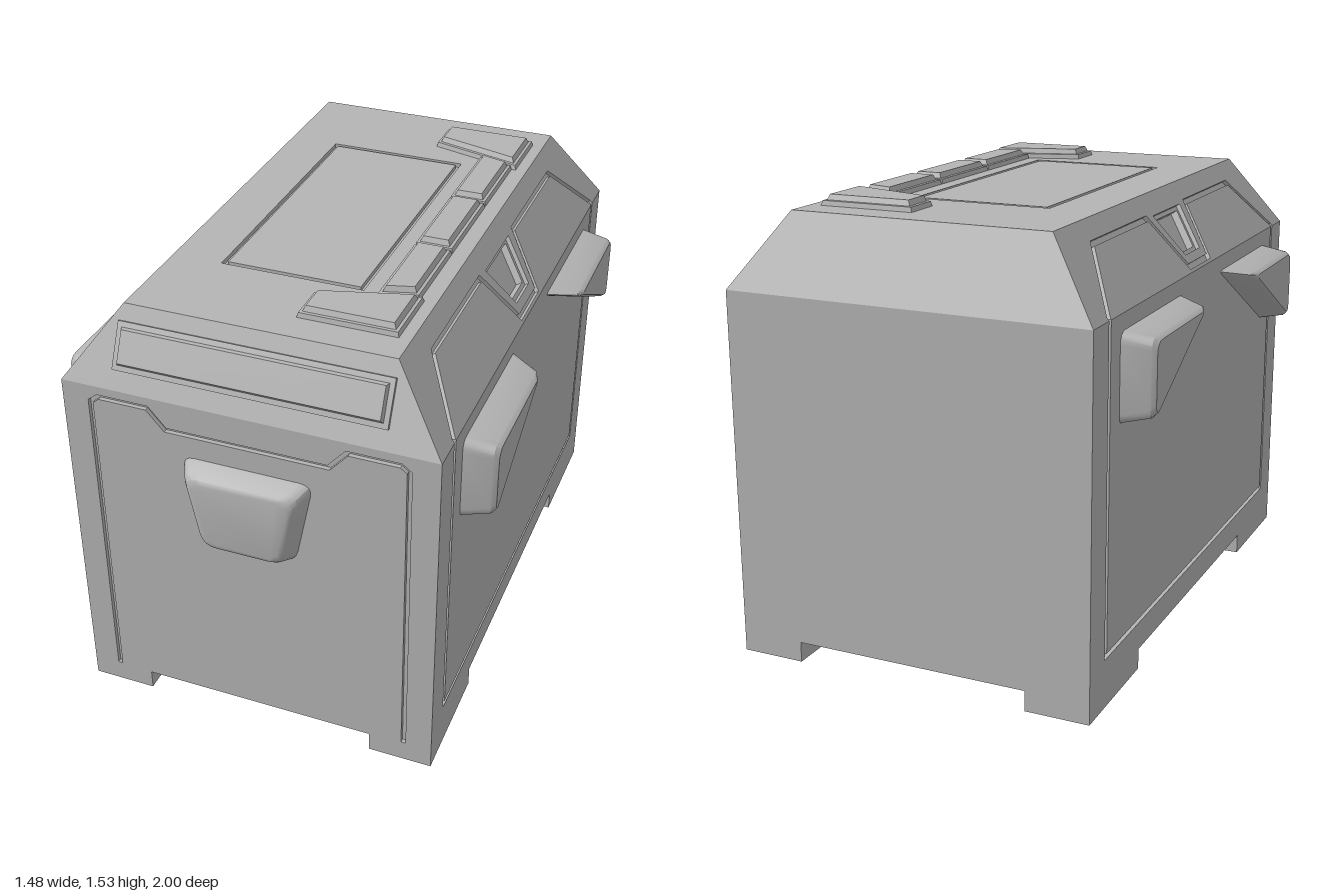
import * as THREE from 'three';
import { toCreasedNormals } from 'three/addons/utils/BufferGeometryUtils.js';

const GROOVE = 0.016;   // groove width
const DEPTH = 0.015;    // groove depth
const grey = new THREE.MeshStandardMaterial({ color: 0xb4b4b4 });
grey.name = 'grey metal';

const V2 = (p) => new THREE.Vector2(p[0], p[1]);
const rect = (x0, y0, x1, y1) => [[x0, y0], [x1, y0], [x1, y1], [x0, y1]];

// Face frame: 2D points (a, b) land on origin + a*u + b*v, raised along the outward normal
function frame(o, u, v) {
  const U = new THREE.Vector3(...u), V = new THREE.Vector3(...v);
  const N = U.clone().cross(V).normalize();
  return new THREE.Matrix4().makeBasis(U, V, N).setPosition(...o);
}

function ccw(pts) {
  return THREE.ShapeUtils.area(pts.map(V2)) < 0 ? [...pts].reverse() : pts;
}

// Polygon moved inward by d with mitred corners
function inset(pts, d) {
  const s = THREE.ShapeUtils.area(pts.map(V2)) < 0 ? -1 : 1;
  const n = pts.length;
  return pts.map((p, i) => {
    const P = V2(p);
    const e0 = P.clone().sub(V2(pts[(i + n - 1) % n])).normalize();
    const e1 = V2(pts[(i + 1) % n]).sub(P).normalize();
    const n0 = new THREE.Vector2(-e0.y, e0.x), n1 = new THREE.Vector2(-e1.y, e1.x);
    const k = (s * d) / (1 + n0.dot(n1));
    return [P.x + (n0.x + n1.x) * k, P.y + (n0.y + n1.y) * k];
  });
}

function roundCorners(pts, r) {
  if (!r) return pts;
  const n = pts.length, out = [];
  pts.forEach((p, i) => {
    const P = V2(p);
    const toward = (q) => P.clone().add(V2(q).sub(P).setLength(r));
    const curve = new THREE.QuadraticBezierCurve(
      toward(pts[(i + n - 1) % n]), P, toward(pts[(i + 1) % n]));
    curve.getPoints(4).forEach((q) => out.push([q.x, q.y]));
  });
  return out;
}

function shapeOf(pts, holes = []) {
  const s = new THREE.Shape(pts.map(V2));
  holes.forEach((h) => s.holes.push(new THREE.Path(h.map(V2))));
  return s;
}

// Raised block: rings of [inset, height] joined, with a cap on top
function blockGeometry(points, rings, r) {
  const base = ccw(points);
  const loops = rings.map(([d, h]) => roundCorners(inset(base, d), r).map(([x, y]) => [x, y, h]));
  const n = loops[0].length, pos = [];
  for (let k = 0; k + 1 < loops.length; k++) {
    for (let i = 0; i < n; i++) {
      const j = (i + 1) % n, a = loops[k], b = loops[k + 1];
      pos.push(...a[i], ...a[j], ...b[j], ...a[i], ...b[j], ...b[i]);
    }
  }
  const top = loops[loops.length - 1];
  THREE.ShapeUtils.triangulateShape(top.map(V2), []).forEach((t) => t.forEach((i) => pos.push(...top[i])));
  const g = new THREE.BufferGeometry();
  g.setAttribute('position', new THREE.Float32BufferAttribute(pos, 3));
  return toCreasedNormals(g, 0.5);
}

export function createModel() {
  const model = new THREE.Group();
  model.name = 'storageCrate';

  function add(name, geo, m) {
    if (m) geo.applyMatrix4(m);
    const mesh = new THREE.Mesh(geo, grey);
    mesh.name = name;
    model.add(mesh);
  }
  const flat = (name, m, pts, z = 0) =>
    add(name, new THREE.ShapeGeometry(shapeOf(pts)).translate(0, 0, z), m);
  const plate = (name, m, pts, holes = [], depth = DEPTH, z = 0) =>
    add(name, new THREE.ExtrudeGeometry(shapeOf(pts, holes), { depth, bevelEnabled: false })
      .translate(0, 0, z - depth), m);
  const block = (name, m, pts, rings, r = 0) => add(name, blockGeometry(pts, rings, r), m);

  // Panel inside an open groove path whose two ends lie on a face edge
  function panelFrom(path) {
    const p = inset(path, GROOVE);
    p[0][1] = path[0][1];
    p[p.length - 1][1] = path[path.length - 1][1];
    return p;
  }

  // Front wall with its notched panel
  const front = frame([0, 0, 0.93], [1, 0, 0], [0, 1, 0]);
  const half = [[0.54, 0.07], [0.54, 1.195], [0.508, 1.22], [0.33, 1.22], [0.27, 1.152]];
  const frontPath = [...half.map(([x, y]) => [-x, y]), ...[...half].reverse()];
  plate('frontFrame', front, [...frontPath, [0.63, 0.07], [0.63, 1.25], [-0.63, 1.25], [-0.63, 0.07]]);
  plate('frontPanel', front, panelFrom(frontPath));
  flat('frontGrooveFloor', front, rect(-0.63, 0.07, 0.63, 1.25), -DEPTH);

  // Front latch
  block('latch', front, [[-0.222, 1.06], [0.222, 1.06], [0.158, 0.745], [-0.158, 0.745]],
    [[0, 0], [0.02, 0.05], [0.03, 0.064], [0.042, 0.07]], 0.045);

  // Front and back slopes, back wall and underside
  const slope = [[-0.63, 1.25], [0.63, 1.25], [0.45, 1.5], [-0.45, 1.5]];
  const frontSlope = frame([0, 0, 1.53], [1, 0, 0], [0, 1, -0.48]);
  flat('frontSlope', frontSlope, slope);
  block('frontBar', frontSlope, rect(-0.455, 1.31, 0.455, 1.45),
    [[0, 0], [0, 0.012], [0.016, 0.014], [0.022, 0.028]]);
  flat('backSlope', frame([0, 0, -1.6], [-1, 0, 0], [0, 1, 0.48]), slope);
  flat('backWall', frame([0, 0, -1], [-1, 0, 0], [0, 1, 0]), rect(-0.63, 0.07, 0.63, 1.25));
  flat('underside', frame([0, 0.07, 0], [1, 0, 0], [0, 0, 1]), rect(-0.63, -1, 0.63, 0.93));

  // Both sides: wall panel, slope panel, notch and grips
  for (const s of [1, -1]) {
    const side = s > 0 ? 'left' : 'right';
    const at = (pts) => pts.map(([z, y]) => [-s * z, y]);
    const wall = frame([s * 0.63, 0, 0], [0, 0, -s], [0, 1, 0]);
    const wallPath = at([[0.815, 1.25], [0.815, 0.165], [-0.88, 0.165], [-0.88, 1.25]]);
    plate(side + 'WallFrame', wall, [...wallPath, ...at([[-1, 1.25], [-1, 0.07], [0.93, 0.07], [0.93, 1.25]])]);
    plate(side + 'WallPanel', wall, panelFrom(wallPath));
    flat(side + 'WallGrooveFloor', wall, at(rect(-1, 0.07, 0.93, 1.25)), -DEPTH);

    const tilt = frame([s * 1.53, 0, 0], [0, 0, -s], [-s * 0.72, 1, 0]);
    const tiltPath = at([[0.815, 1.25], [0.815, 1.26], [0.637, 1.443], [0.15, 1.443], [0.065, 1.275],
      [-0.125, 1.275], [-0.215, 1.443], [-0.695, 1.443], [-0.88, 1.26], [-0.88, 1.25]]);
    const outline = at([[-1, 1.25], [-0.88, 1.5], [0.81, 1.5], [0.93, 1.25]]);
    const notch = at([[0.1, 1.435], [-0.165, 1.435], [-0.105, 1.3], [0.04, 1.3]]);
    plate(side + 'SlopeFrame', tilt, [...tiltPath, ...outline], [notch]);
    plate(side + 'SlopePanel', tilt, panelFrom(tiltPath));
    plate(side + 'SlopeGrooveFloor', tilt, outline, [inset(notch, 0.012)], 0.03, -DEPTH);
    flat(side + 'NotchFloor', tilt, notch, -0.04);

    // Grips mirrored about the side's middle
    const grip = [[0.725, 1.195], [0.725, 0.895], [0.16, 1.195]];
    const gripRings = [[0, 0], [0.014, 0.095], [0.024, 0.11]];
    block(side + 'FrontGrip', wall, at(grip), gripRings, 0.04);
    block(side + 'BackGrip', wall, at(grip.map(([z, y]) => [-0.063 - z, y])), gripRings, 0.04);

    // Feet
    for (const z of [0.72, -0.79]) {
      add('foot', new THREE.BoxGeometry(0.22, 0.075, 0.42).translate(s * 0.52, 0.0375, z));
    }
  }

  // Roof with a grooved rectangle
  const roof = frame([0, 1.5, 0], [1, 0, 0], [0, 0, -1]);
  const top = rect(-0.45, -0.81, 0.45, 0.88);
  const lid = rect(-0.278, -0.472, 0.212, 0.518);
  plate('roofFrame', roof, top, [lid]);
  plate('roofPanel', roof, inset(lid, GROOVE));
  flat('roofGrooveFloor', roof, top, -DEPTH);

  // Stepped strip of raised tiles along the roof, mirrored about its middle
  const flip = (pts) => pts.map(([x, b]) => [x, 0.07 - b]);
  const endTile = [[0.08, 0.77], [0.41, 0.77], [0.41, 0.538], [0.08, 0.633]];
  const longTile = [[0.265, 0.575], [0.395, 0.538], [0.395, 0.22], [0.265, 0.22]];
  const midTile = rect(0.265, -0.145, 0.395, 0.215);
  for (const tile of [endTile, longTile, midTile, flip(longTile), flip(endTile)]) {
    block('roofTile', roof, tile, [[0, 0], [0.004, 0.016], [0.014, 0.017], [0.022, 0.035]]);
  }

  return model;
}
